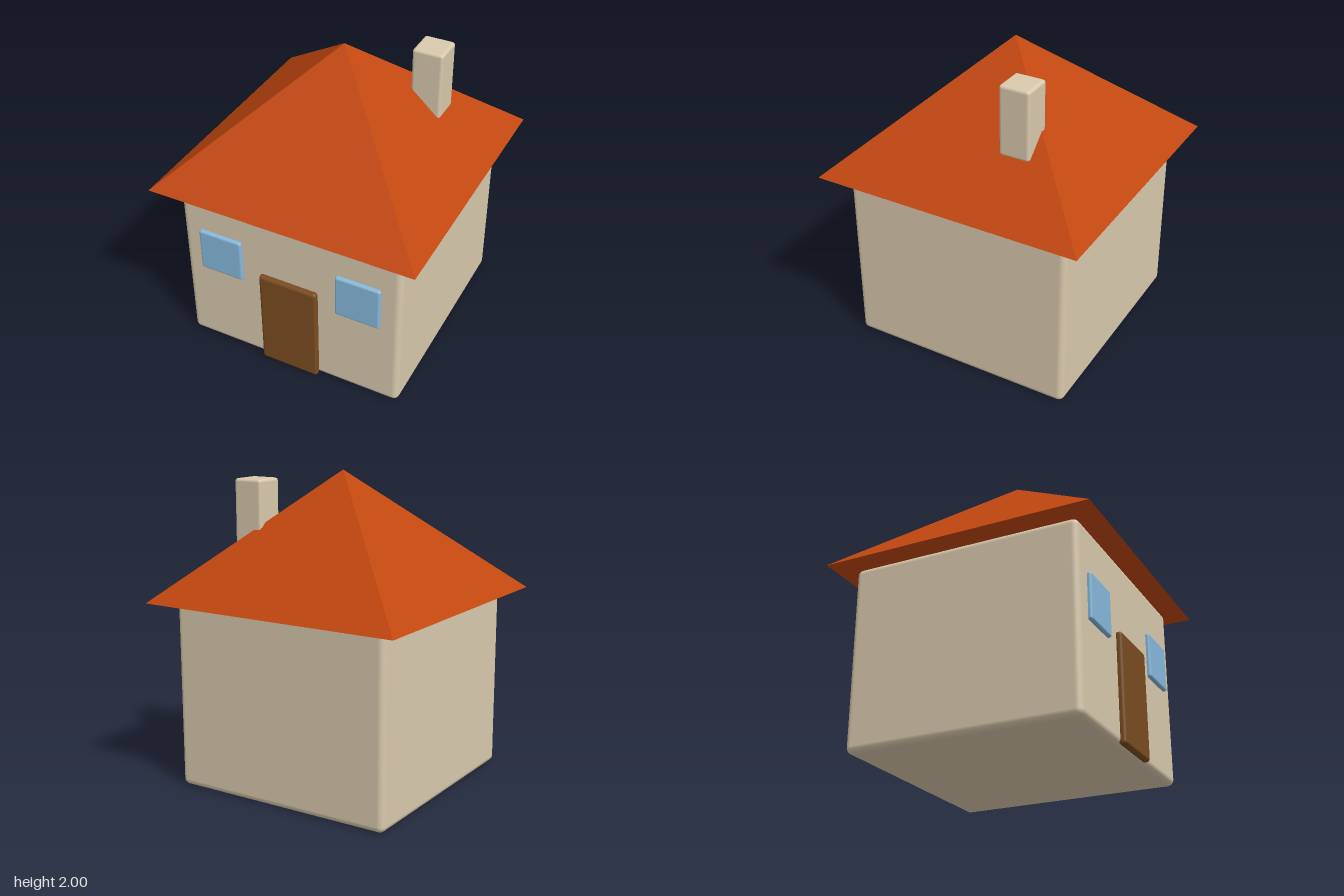
import * as THREE from 'three';
import { RoundedBoxGeometry } from 'three/addons/geometries/RoundedBoxGeometry.js';

function material(name, color) {
  const m = new THREE.MeshStandardMaterial({ color });
  m.name = name;
  return m;
}

export function createModel() {
  const house = new THREE.Group();
  house.name = 'house';

  const plaster = material('plaster', 0xd9c9ad);
  const tile = material('roofTile', 0xc1460e);
  const wood = material('doorWood', 0x7a4c20);
  const glass = material('windowGlass', 0x87b9dc);

  // Softly rounded block, placed by its centre
  const block = (name, size, centre, radius, mat) => {
    const mesh = new THREE.Mesh(new RoundedBoxGeometry(...size, 4, radius), mat);
    mesh.name = name;
    mesh.position.set(...centre);
    house.add(mesh);
  };

  block('walls', [1.5, 1.2, 1.5], [0, 0.6, 0], 0.04, plaster);
  block('chimney', [0.2, 0.45, 0.2], [0.45, 1.725, -0.3], 0.02, plaster);
  block('door', [0.4, 0.7, 0.05], [0, 0.35, 0.76], 0.02, wood);
  for (const [name, side] of [['leftWindow', 1], ['rightWindow', -1]]) {
    block(name, [0.3, 0.3, 0.05], [side * 0.475, 0.75, 0.75], 0.015, glass);
  }

  // Four-sided pyramid roof with overhanging eaves and a closed underside
  const roofShape = new THREE.ConeGeometry(1.25, 0.8, 4).rotateY(Math.PI / 4).toNonIndexed();
  roofShape.computeVertexNormals();
  const roof = new THREE.Mesh(roofShape, tile);
  roof.name = 'roof';
  roof.position.y = 1.6;
  house.add(roof);

  return house;
}
